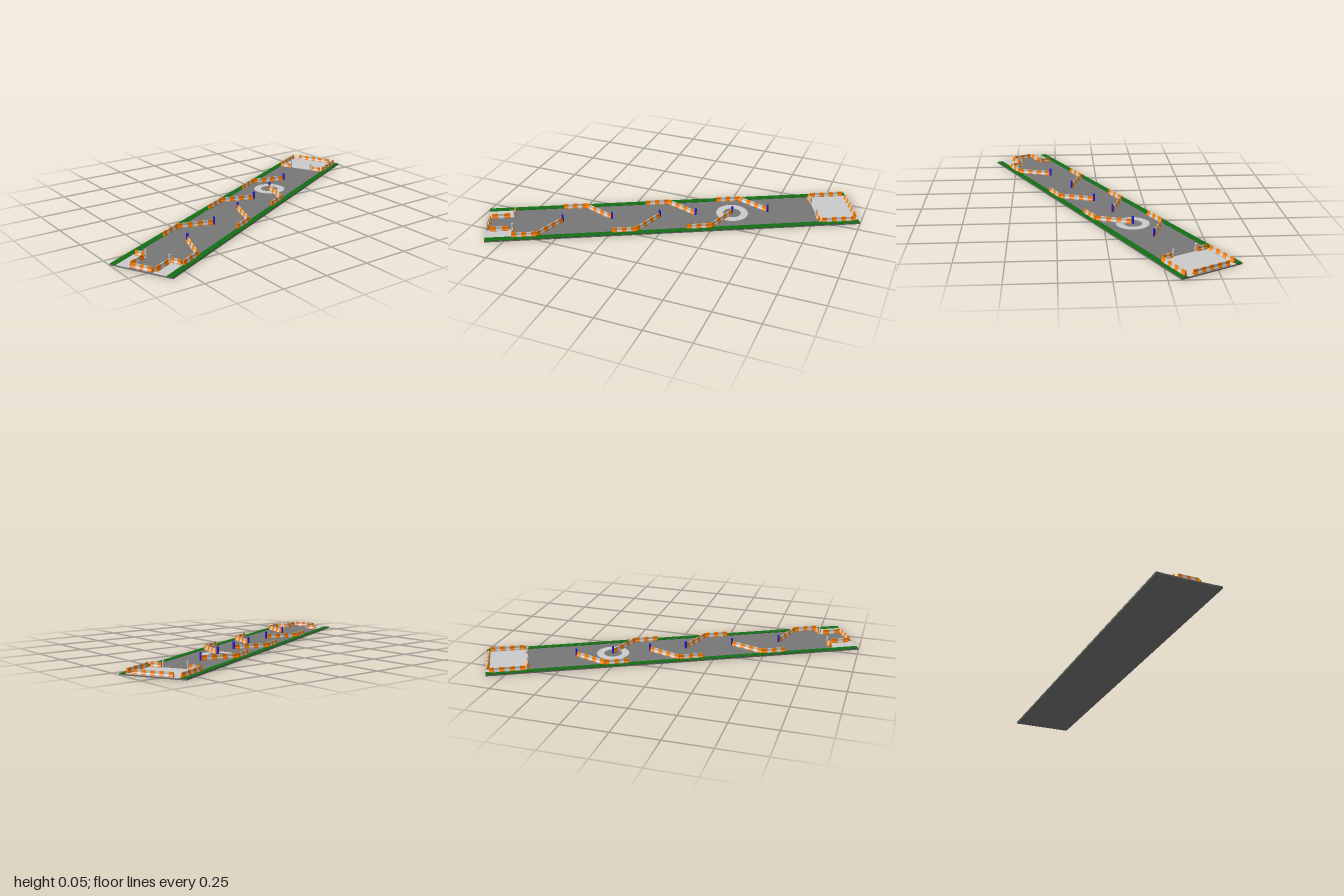
import * as THREE from 'three';

const mat = (color) => new THREE.MeshStandardMaterial({ color, flatShading: true });
const floorMat = mat(0x777777), grassMat = mat(0x146e14), padMat = mat(0xcccccc);
const orangeMat = mat(0xff8000), blueMat = mat(0x2020ee);

const LENGTH = 2.067, WIDTH = 0.35, EDGE = 0.142, FLOOR = 0.007;

// Tapered road-barrier cross-section
const profile = new THREE.Shape([
  [-0.009, 0], [0.009, 0], [0.008, 0.006], [0.004, 0.012],
  [0.003, 0.025], [-0.003, 0.025], [-0.004, 0.012], [-0.008, 0.006],
].map(([x, y]) => new THREE.Vector2(x, y)));

export function createModel() {
  const model = new THREE.Group();
  model.name = 'obstacleCourse';
  // The whole course lies diagonally
  model.rotation.y = THREE.MathUtils.degToRad(27.1);

  const add = (name, geometry, material, x, y, z, parent = model) => {
    const mesh = new THREE.Mesh(geometry, material);
    mesh.name = name;
    mesh.position.set(x, y, z);
    parent.add(mesh);
    return mesh;
  };

  // Flat slab spanning x0..x1 and z0..z1
  const slab = (name, material, x0, x1, z0, z1, y0, y1) =>
    add(name, new THREE.BoxGeometry(x1 - x0, y1 - y0, z1 - z0), material,
      (x0 + x1) / 2, (y0 + y1) / 2, (z0 + z1) / 2);

  // Striped barrier between two floor points
  const barrier = (name, x0, z0, x1, z1) => {
    const wall = new THREE.Group();
    wall.name = name;
    const length = Math.hypot(x1 - x0, z1 - z0);
    const count = Math.max(3, 2 * Math.round((length / 0.026 - 1) / 2) + 1);
    const step = length / count;
    const geometry = new THREE.ExtrudeGeometry(profile, { depth: step, bevelEnabled: false });
    for (let i = 0; i < count; i++) {
      add('barrierStripe', geometry, i % 2 ? padMat : orangeMat, 0, 0, i * step, wall);
    }
    wall.position.set(x0, FLOOR, z0);
    wall.rotation.y = Math.atan2(x1 - x0, z1 - z0);
    model.add(wall);
  };

  const post = (name, material, x, z) =>
    add(name, new THREE.CylinderGeometry(0.006, 0.006, 0.041, 12), material, x, FLOOR + 0.0205, z);

  const end = LENGTH / 2, side = WIDTH / 2;

  // Floor and grass verges
  slab('floor', floorMat, -end, end, -side, side, 0, FLOOR);
  for (const s of [-1, 1]) {
    const inner = s * 0.14, outer = s * side;
    slab('grassVerge', grassMat, -end, end, Math.min(inner, outer), Math.max(inner, outer), FLOOR, 0.009);
  }

  // Deflectors: a length along the verge, then a diagonal arm to a centre post
  [-0.615, -0.34, -0.072, 0.132, 0.34, 0.543].forEach((x, i) => {
    const z = i % 2 ? -EDGE : EDGE;
    barrier('edgeBarrier', x - 0.272, z, x - 0.142, z);
    barrier('diagonalBarrier', x - 0.14, z, x - 0.004, z * 0.03);
    post('centrePost', blueMat, x, 0);
  });

  // Ring marking on the floor
  const ring = new THREE.Shape().absarc(0, 0, 0.09, 0, Math.PI * 2);
  ring.holes.push(new THREE.Path().absarc(0, 0, 0.05, 0, Math.PI * 2, true));
  const ringGeometry = new THREE.ExtrudeGeometry(ring, { depth: 0.0015, bevelEnabled: false, curveSegments: 32 });
  add('floorRing', ringGeometry.rotateX(-Math.PI / 2), padMat, 0.34, FLOOR, 0);

  // Large pad at one end with its enclosure
  slab('endPad', padMat, 0.81, end, -0.14, 0.14, FLOOR, 0.0085);
  barrier('endBarrier', 1.023, -0.105, 1.023, 0.105);

  // Two bays at the other end
  barrier('bayEndBarrier', -1.02, -0.055, -1.02, 0.055);
  for (const s of [-1, 1]) {
    barrier('padSideBarrier', 0.825, s * EDGE, 1.015, s * EDGE);
    barrier('padGateBarrier', 0.812, s * 0.132, 0.812, s * 0.075);
    post('padGatePost', padMat, 0.81, s * 0.067);

    const near = s * 0.065, far = s * 0.14;
    slab('bayPad', padMat, -end, -0.885, Math.min(near, far), Math.max(near, far), FLOOR, 0.0085);
    barrier('bayInnerBarrier', -1.01, s * 0.07, -0.91, s * 0.07);
    barrier('bayGateBarrier', -0.885, s * 0.128, -0.885, s * 0.075);
    post('bayGatePost', padMat, -0.887, s * 0.067);
  }

  const root = new THREE.Group();
  root.add(model);
  return root;
}
